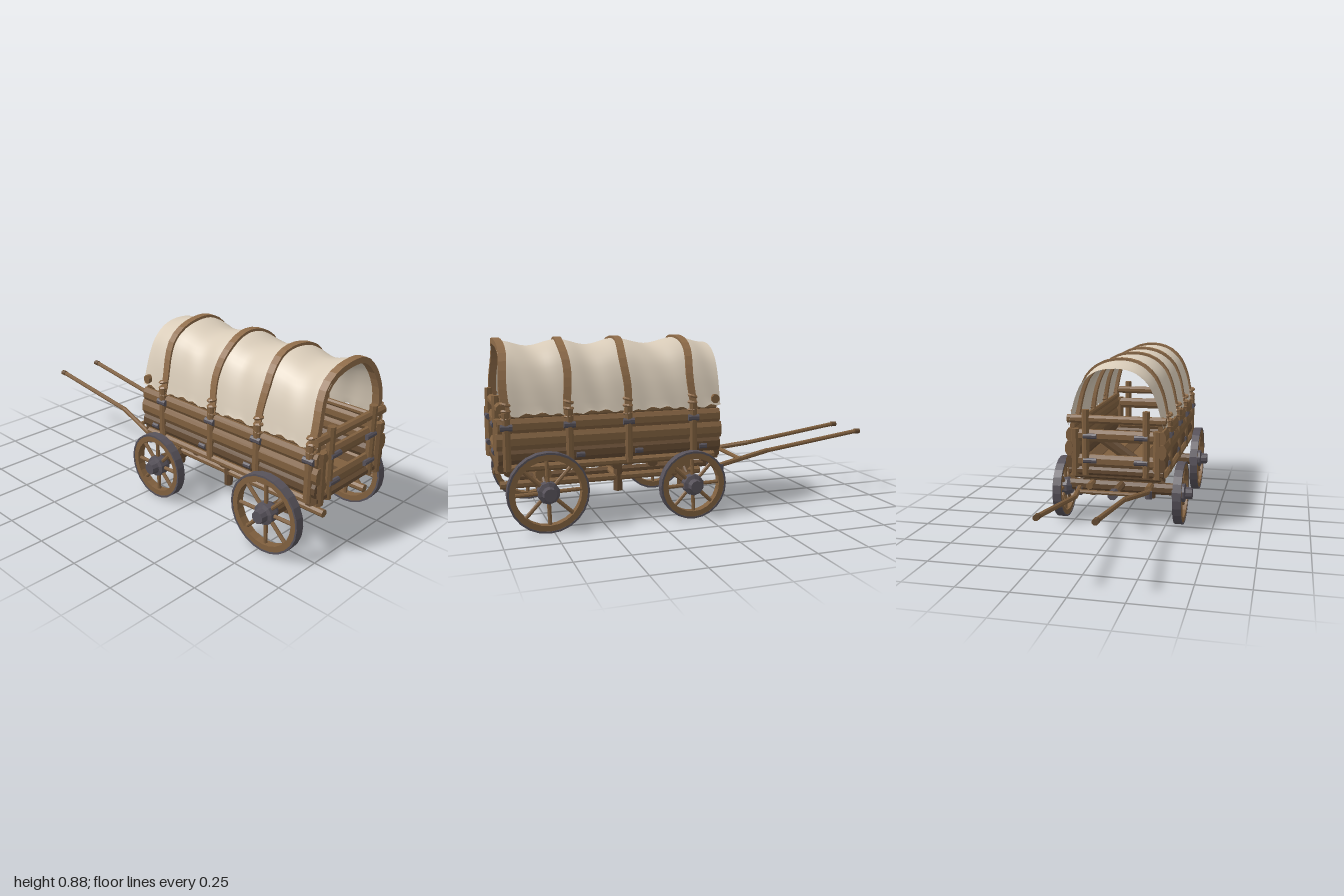
import * as THREE from 'three';

const mat = (name, color, extra = {}) => Object.assign(new THREE.MeshStandardMaterial({ color, ...extra }), { name });

export function createModel() {
  const wood = mat('wood', 0x80603f, { flatShading: true });
  const darkWood = mat('dark wood', 0x664c33, { flatShading: true });
  const hoopWood = mat('hoop wood', 0x8f6c49, { flatShading: true });
  const iron = mat('iron', 0x57525a, { flatShading: true });
  const canvas = mat('canvas', 0xd9ccb9, { side: THREE.DoubleSide });

  const wagon = new THREE.Group();
  wagon.name = 'wagon';
  const add = (name, geo, material, parent = wagon) => {
    const m = new THREE.Mesh(geo, material);
    m.name = name;
    parent.add(m);
    return m;
  };

  // Rough-hewn bar: an octagonal prism along one axis, scaled to a full size
  const bar = (name, material, axis, pos, size, parent) => {
    const r = 0.5 / Math.cos(Math.PI / 8);
    const g = new THREE.CylinderGeometry(r, r, 1, 8, 1, false, Math.PI / 8);
    if (axis === 'x') g.rotateZ(Math.PI / 2);
    if (axis === 'z') g.rotateX(Math.PI / 2);
    g.scale(...size).translate(...pos);
    return add(name, g, material, parent);
  };
  // Round pole between two points
  const pole = (name, material, a, b, r, parent) => {
    const p = new THREE.Vector3(...a), q = new THREE.Vector3(...b);
    const m = add(name, new THREE.CylinderGeometry(r, r, p.distanceTo(q), 8), material, parent);
    m.position.copy(p).add(q).multiplyScalar(0.5);
    m.quaternion.setFromUnitVectors(new THREE.Vector3(0, 1, 0), q.sub(p).normalize());
    return m;
  };

  const hoopX = [0.04, 0.37, 0.655, 0.945];

  // Side walls with posts, iron clips and rope lashings
  for (const s of [1, -1]) {
    [[0.297, 0.035, 0.25], [0.352, 0.072, 0.243], [0.422, 0.078, 0.246], [0.492, 0.07, 0.242]].forEach(([y, h, z], i) =>
      bar('sidePlank', i === 1 ? darkWood : wood, 'x', [0.44, y, s * z], [i === 0 ? 1.02 : 1.1 - (i % 2) * 0.015, h, 0.042]));
    hoopX.forEach((x, i) => {
      bar('sidePost', wood, 'y', [x, 0.425, s * 0.262], [0.036, 0.27, 0.026]);
      bar('postClip', iron, 'x', [x, 0.49, s * 0.266], [0.055, 0.03, 0.026]);
      for (const dy of [-0.02, 0.015, 0.045]) {
        const knot = add('lashing', new THREE.TorusGeometry(0.019, 0.008, 5, 8), dy ? hoopWood : darkWood);
        knot.rotation.set(Math.PI / 2, dy * 6, 0);
        knot.position.set(x, 0.55 + dy, s * 0.251);
      }
      if (i < 3) bar('wallBolt', iron, 'x', [x - 0.05, 0.345, s * 0.263], [0.04, 0.025, 0.02]);
    });
    for (const x of [-0.085, 0.975]) bar('cornerPost', wood, 'y', [x, 0.4, s * 0.22], [0.04, 0.25, 0.05]);
    bar('topRail', wood, 'x', [0.44, 0.54, s * 0.232], [1.06, 0.03, 0.025]);
  }

  // End gates: open rails between tall posts with iron hinges
  for (const [x, out] of [[0.965, 1], [-0.08, -1]]) {
    const gate = new THREE.Group();
    gate.name = out > 0 ? 'tailGate' : 'headGate';
    wagon.add(gate);
    bar('gateTopRail', wood, 'z', [x, 0.576, 0], [0.04, 0.042, 0.52], gate);
    bar('gateUpperRail', wood, 'z', [x, 0.49, 0], [0.035, 0.062, 0.42], gate);
    bar('gateLowerRail', wood, 'z', [x, 0.355, 0], [0.035, 0.068, 0.42], gate);
    bar('gateSill', darkWood, 'z', [x, 0.302, 0], [0.045, 0.045, 0.5], gate);
    for (const s of [1, -1]) {
      bar('gatePost', wood, 'y', [x + out * 0.012, 0.455, s * 0.16], [0.035, 0.345, 0.036], gate);
      for (const y of [0.49, 0.36]) bar('hinge', iron, 'z', [x + out * 0.024, y, s * 0.135], [0.022, 0.026, 0.07], gate);
    }
    if (out < 0) bar('gateBrace', darkWood, 'z', [0, 0, 0], [0.025, 0.06, 0.26], gate)
      .position.set(x + 0.02, 0.422, 0.005);
    if (out < 0) gate.children.at(-1).rotation.x = 0.6;
  }

  // Floor boards and cross joists
  for (let i = 0; i < 6; i++)
    add('floorBoard', new THREE.BoxGeometry(1.04, 0.02, 0.077).translate(0.44, 0.294, (i - 2.5) * 0.08), i % 2 ? wood : darkWood);
  for (const x of [-0.04, 0.24, 0.42, 0.6, 0.93]) bar('joist', darkWood, 'z', [x, 0.27, 0], [0.05, 0.035, 0.46]);

  // Undercarriage
  for (const s of [1, -1]) {
    bar('runner', wood, 'x', [0.47, 0.2, s * 0.16], [1.0, 0.035, 0.036]);
    for (const x of [0.065, 0.4, 0.775]) bar('runnerBlock', darkWood, 'y', [x, 0.195, s * 0.16], [0.04, 0.13, 0.042]);
  }
  bar('reachPole', darkWood, 'x', [0.36, 0.195, 0], [1.0, 0.035, 0.045]);
  bar('middleTie', wood, 'z', [0.4, 0.2, 0], [0.035, 0.03, 0.36]);
  bar('drawBlock', iron, 'x', [-0.15, 0.2, 0], [0.045, 0.05, 0.05]);

  // Wheel with an iron tyre, wooden felloe, spokes and hub; its axis is z
  const wheel = (name, x, y, s, R) => {
    const g = new THREE.Group();
    g.name = name;
    const ring = (r0, r1, w) => new THREE.LatheGeometry(
      [[r0, -w], [r1, -w], [r1, w], [r0, w], [r0, -w]].map(p => new THREE.Vector2(...p)), 24).rotateX(Math.PI / 2);
    add('tyre', ring(R - 0.009, R, 0.0225), iron, g);
    add('felloe', ring(R - 0.036, R - 0.008, 0.0205), wood, g);
    for (let i = 0; i < 8; i++) {
      const a = i * Math.PI / 4 + 0.03, c = Math.cos(a), d = Math.sin(a);
      pole('spoke', wood, [0.03 * c, 0.03 * d, 0], [(R - 0.03) * c, (R - 0.03) * d, 0], 0.0095, g);
    }
    const hub = [[0, -0.045], [0.036, -0.045], [0.052, -0.02], [0.052, 0.022], [0.034, 0.028], [0.03, 0.062], [0, 0.062]];
    add('hub', new THREE.LatheGeometry(hub.map(p => new THREE.Vector2(...p)), 10).rotateX(Math.PI / 2), iron, g);
    g.position.set(x, y, s * 0.321);
    if (s < 0) g.rotation.y = Math.PI;
    wagon.add(g);
  };
  for (const [label, x, R] of [['front', 0.065, 0.168], ['rear', 0.772, 0.19]]) {
    for (const s of [1, -1]) {
      wheel(label + 'Wheel', x, R, s, R);
      pole(label + 'AxleBrace', darkWood, [x, 0.19, s * 0.26], [x, 0.245, s * 0.17], 0.012);
    }
    bar(label + 'Axle', darkWood, 'z', [x, 0.183, 0], [0.06, 0.06, 0.58]);
    bar(label + 'Bolster', wood, 'z', [x, 0.25, 0], [0.075, 0.065, 0.41]);
  }

  // Draught shafts
  for (const s of [1, -1]) {
    pole('shaft', wood, [-0.99, 0.338, s * 0.125], [-0.43, 0.262, s * 0.12], 0.012);
    pole('shaft', wood, [-0.435, 0.263, s * 0.12], [-0.12, 0.217, s * 0.187], 0.013);
    bar('shaftTip', darkWood, 'x', [-0.985, 0.336, s * 0.125], [0.03, 0.026, 0.028]);
    bar('shaftLug', iron, 'y', [-0.14, 0.205, s * 0.184], [0.03, 0.04, 0.034]);
  }
  pole('shaftCrossbar', wood, [-0.26, 0.238, -0.165], [-0.26, 0.238, 0.165], 0.011);

  // Arch shared by the hoops and the canvas, as (z, y)
  const half = [[0.246, 0.535], [0.234, 0.62], [0.213, 0.71], [0.172, 0.795], [0.1, 0.852]];
  const arch = new THREE.CatmullRomCurve3([...half, [0, 0.872], ...half.map(([z, y]) => [-z, y]).reverse()]
    .map(([z, y]) => new THREE.Vector3(0, y, z)));

  // Loft a grid of points into a smooth surface
  const loft = (nu, nv, fn) => {
    const g = new THREE.PlaneGeometry(1, 1, nu, nv), p = g.attributes.position;
    for (let j = 0, k = 0; j <= nv; j++)
      for (let i = 0; i <= nu; i++, k++) p.setXYZ(k, ...fn(i / nu, j / nv));
    g.computeVertexNormals();
    return g;
  };

  // Canvas sags between hoops, with a ragged lower hem
  const stops = [-0.25, ...hoopX, 1.25];
  add('canvasCover', loft(60, 32, (u, v) => {
    const x = -0.11 + 1.068 * u;
    const i = stops.findIndex((h, k) => x <= stops[k + 1]);
    const f = (x - stops[i]) / (stops[i + 1] - stops[i]);
    const sag = Math.sin(Math.PI * f) ** 2;
    const pt = arch.getPointAt(v), side = Math.abs(2 * v - 1);
    const fold = 0.005 * Math.sin(x * 31 + v * 9) * sag;
    const hem = side > 0.99 ? 0.012 * sag + 0.006 * Math.sin(x * 83) : 0;
    const k = 1 - 0.03 * sag * (1 - side);
    return [x, pt.y - 0.028 * sag * (1 - side * side) + hem, pt.z * k + Math.sign(pt.z) * (fold + 0.006 * side * side)];
  }), canvas);

  // Bent hoops: a rectangular section swept over the arch
  hoopX.forEach((x, n) => {
    const sect = [[-0.018, 0.012], [0.018, 0.012], [0.018, -0.016], [-0.018, -0.016], [-0.018, 0.012]];
    const g = loft(4, 22, (u, v) => {
      const [dx, dn] = sect[Math.round(u * 4)], pt = arch.getPointAt(v), t = arch.getTangentAt(v);
      const wobble = 0.006 * Math.sin(v * 17 + n * 2);
      return [x + dx + wobble, pt.y - t.z * dn, pt.z + t.y * dn];
    });
    const hoop = add('hoop', g, hoopWood);
    // Make the section wind outward
    const nrm = g.attributes.normal, mid = 11 * 5;
    if (nrm.getY(mid) + nrm.getY(mid + 1) < 0) {
      g.index.array.reverse();
      g.computeVertexNormals();
    }
    hoop.name = 'coverHoop';
  });

  return wagon;
}
